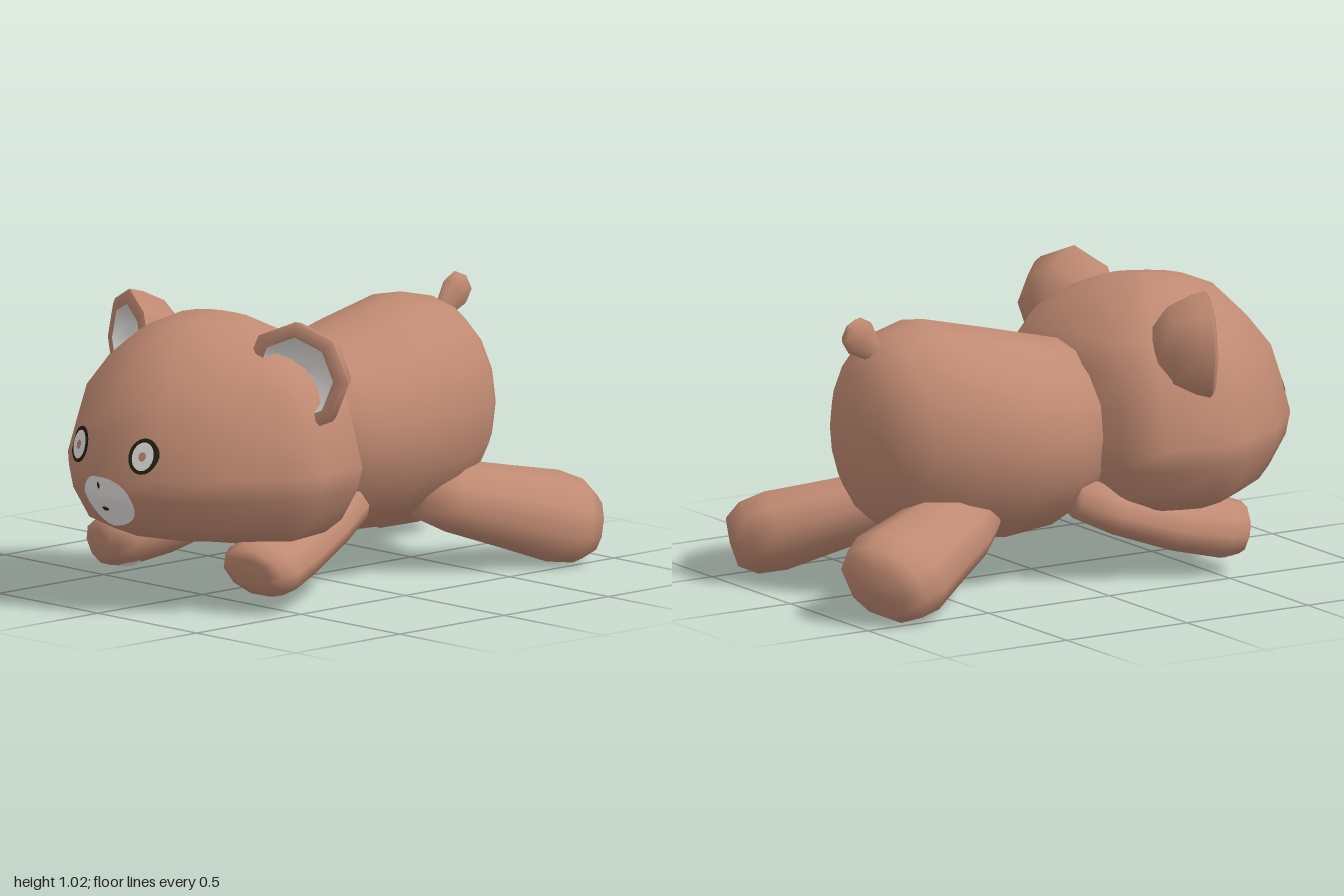
import * as THREE from 'three';
import { mergeVertices } from 'three/addons/utils/BufferGeometryUtils.js';

const V = (x, y, z) => new THREE.Vector3(x, y, z);
const flat = (name, color) => {
  const m = new THREE.MeshStandardMaterial({ color });
  m.name = name;
  return m;
};

// Smooth skin over closed rings of equal point count
function loft(rings) {
  const n = rings[0].length, pos = [], idx = [];
  rings.forEach(r => r.forEach(p => pos.push(p.x, p.y, p.z)));
  for (let i = 0; i < rings.length - 1; i++) {
    for (let j = 0; j < n; j++) {
      const a = i * n + j, b = i * n + (j + 1) % n;
      idx.push(a, a + n, b, b, a + n, b + n);
    }
  }
  let g = new THREE.BufferGeometry();
  g.setAttribute('position', new THREE.Float32BufferAttribute(pos, 3));
  g.setIndex(idx);
  g = mergeVertices(g, 1e-4);
  g.computeVertexNormals();
  return g;
}

const ring = (n, fn) => Array.from({ length: n }, (_, j) => {
  const a = (j / n) * Math.PI * 2;
  return fn(Math.cos(a), Math.sin(a));
});

const lathe = (pts, n) => new THREE.LatheGeometry(pts.map(p => new THREE.Vector2(p[0], p[1])), n);

export function createModel() {
  const root = new THREE.Group();
  const fur = flat('brown fur', 0xc08a72);
  const white = flat('white felt', 0xf2f0ee);
  const dark = flat('dark olive', 0x24220f);

  const add = (name, geo, mat, parent = root) => {
    const m = new THREE.Mesh(geo, mat);
    m.name = name;
    parent.add(m);
    return m;
  };

  // Head: horizontal rings [y, half width, front z, back z]
  const headRings = [
    [0.215, 0, 0.45, 0.45], [0.215, 0.36, 0.64, 0.22], [0.24, 0.43, 0.81, 0.16],
    [0.29, 0.49, 0.92, 0.11], [0.40, 0.545, 0.985, 0.06], [0.48, 0.565, 1.0, 0.05],
    [0.60, 0.525, 0.97, 0.06], [0.72, 0.49, 0.93, 0.07], [0.83, 0.40, 0.84, 0.12],
    [0.92, 0.27, 0.75, 0.24], [0.97, 0.15, 0.63, 0.34], [0.993, 0, 0.45, 0.45],
  ].map(([y, w, f, b]) => ring(16, (c, s) => V(
    w * c, y, 0.45 + (s > 0 ? (f - 0.45) * s ** 1.6 : -(0.45 - b) * (-s) ** 0.6))));
  const head = add('head', loft(headRings), fur);
  head.updateMatrixWorld(true);

  // Body: upright rings from neck to rump [z, half width, bottom, top]
  const bodyRings = [
    [0.26, 0, 0.5, 0.5], [0.25, 0.18, 0.3, 0.7], [0.12, 0.3, 0.2, 0.8], [0, 0.35, 0.15, 0.83],
    [-0.2, 0.385, 0.13, 0.88], [-0.45, 0.365, 0.15, 0.94], [-0.6, 0.31, 0.2, 0.905],
    [-0.67, 0.25, 0.26, 0.85], [-0.725, 0.17, 0.34, 0.78], [-0.75, 0.08, 0.48, 0.66],
    [-0.755, 0, 0.56, 0.56],
  ].map(([z, w, b, t]) => ring(16, (c, s) => V(w * c, (b + t) / 2 + (t - b) / 2 * s, z)));
  add('body', loft(bodyRings), fur);

  // Tapered limb between two points, profile is [radius, fraction of length], sagging in the middle
  const limb = (name, from, to, profile, widen, sag = 0, n = 10) => {
    const len = from.distanceTo(to);
    const g = lathe(profile.map(([r, t]) => [r, t * len]), n);
    const p = g.attributes.position;
    for (let i = 0; i < p.count; i++) p.setZ(i, p.getZ(i) + sag * Math.sin(Math.PI * p.getY(i) / len));
    const m = add(name, g, fur);
    m.position.copy(from);
    m.quaternion.setFromUnitVectors(V(0, 1, 0), to.clone().sub(from).normalize());
    m.scale.x = widen;
    m.updateMatrixWorld(true);
    return m;
  };

  // Oval felt patch laid onto a part's surface, facing along u x v
  const caster = new THREE.Raycaster();
  const patch = (name, mat, target, centre, rx, ry, lift, u = V(1, 0, 0), v = V(0, 1, 0)) => {
    const out = u.clone().cross(v);
    const rings = [0, 0.25, 0.5, 0.75, 1].map(k => ring(28, (c, s) => {
      const p = centre.clone().addScaledVector(u, rx * k * c).addScaledVector(v, ry * k * s);
      caster.set(p.clone().addScaledVector(out, 2), out.clone().negate());
      const hit = caster.intersectObject(target, false)[0];
      return (hit ? hit.point : p).clone().addScaledVector(out, lift);
    }));
    return add(name, loft(rings), mat);
  };

  for (const s of [1, -1]) {
    const side = s > 0 ? 'left' : 'right';

    // Ears: half bowls with a bevelled rim and a hollow white lining
    const ear = new THREE.Group();
    ear.name = side + 'Ear';
    ear.position.set(0.425 * s, 0.81, 0.46);
    ear.rotation.y = 0.4 * s;
    root.add(ear);
    const bowl = (name, pts, mat) => add(name, lathe(pts, 8).rotateX(Math.PI / 2), mat, ear);
    bowl('earShell', [[0, -0.205], [0.085, -0.19], [0.15, -0.14], [0.188, -0.06], [0.2, -0.01]], fur);
    bowl('earRim', [[0.2, -0.01], [0.178, 0.004], [0.147, 0]], fur);
    bowl('earLining', [[0.147, 0], [0.12, -0.05], [0.07, -0.085], [0, -0.1]], white);

    // Front legs with sole pads
    const leg = limb(side + 'FrontLeg', V(0.22 * s, 0.295, 0.03), V(0.39 * s, 0.135, 0.635),
      [[0, 0], [0.072, 0.005], [0.08, 0.25], [0.088, 0.6], [0.098, 0.87], [0.083, 0.97], [0.05, 0.995], [0, 1]],
      1.5, 0.035);
    patch(side + 'SolePad', white, leg, V(0.36 * s, 0, 0.54), 0.08, 0.045, 0.003, V(1, 0, 0), V(0, 0, 1));

    // Hind legs stretched out behind
    limb(side + 'HindLeg', V(0.17 * s, 0.28, -0.35), V(0.463 * s, 0.112, -0.95),
      [[0, 0], [0.09, 0.02], [0.115, 0.2], [0.13, 0.5], [0.145, 0.76], [0.132, 0.9], [0.09, 0.985], [0, 1]], 1.35);

    // Eyes: dark outline, white, brown centre
    const at = V(0.16 * s, 0.56, 0);
    patch(side + 'EyeOutline', dark, head, at, 0.056, 0.062, 0.003);
    patch(side + 'EyeWhite', white, head, at, 0.041, 0.049, 0.006);
    patch(side + 'Pupil', fur, head, at, 0.014, 0.016, 0.009);
  }

  // Muzzle, nose and mouth
  patch('muzzle', white, head, V(0, 0.385, 0), 0.118, 0.092, 0.004);
  patch('nose', dark, head, V(0, 0.445, 0), 0.006, 0.012, 0.007);
  patch('mouth', dark, head, V(0, 0.358, 0), 0.016, 0.008, 0.007);

  // Tail: a narrow bulb on the rump
  limb('tail', V(0, 0.81, -0.61), V(0, 0.955, -0.765),
    [[0, 0], [0.035, 0.05], [0.045, 0.35], [0.068, 0.65], [0.055, 0.88], [0, 1]], 0.5, 0, 8);

  return root;
}
